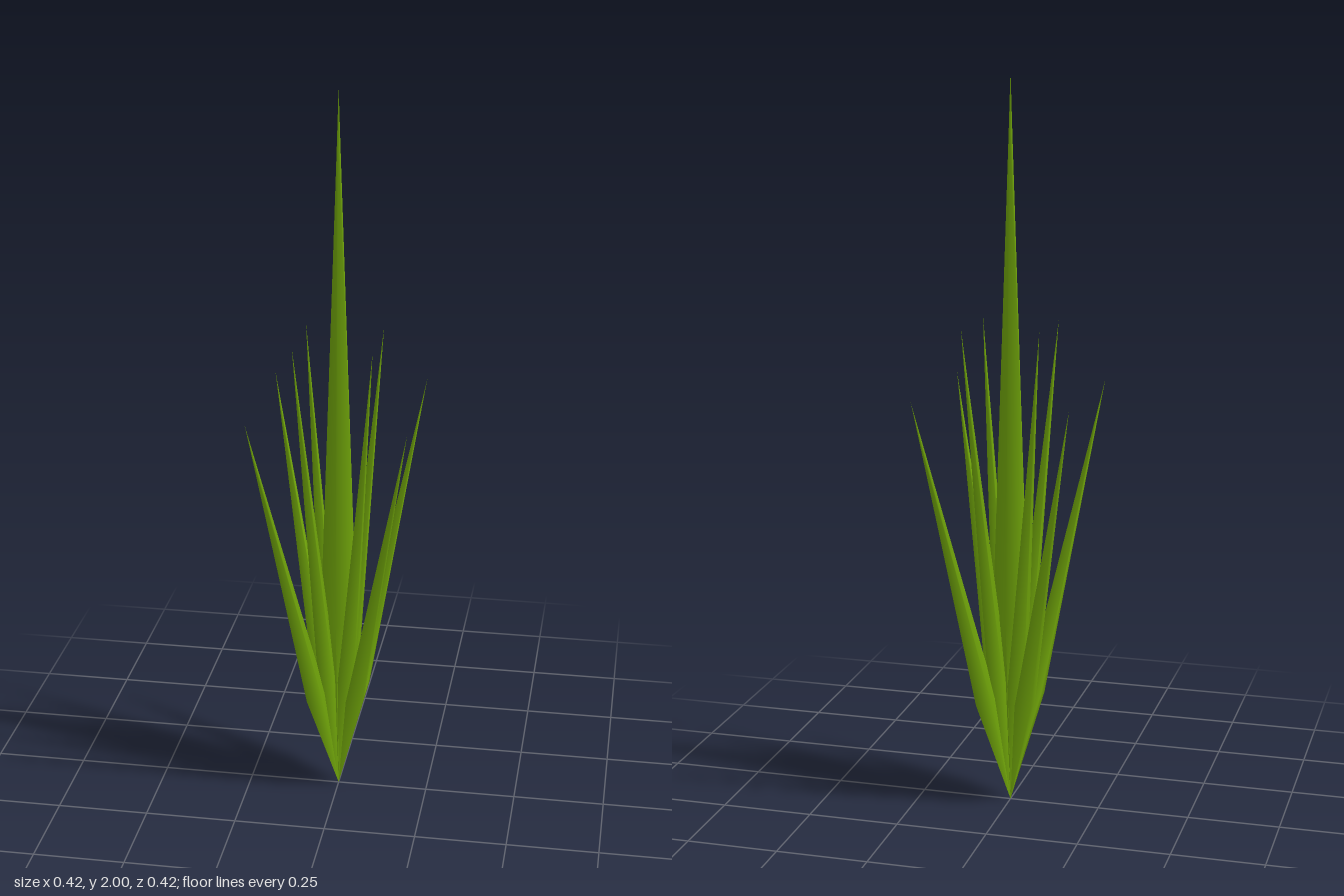
import * as THREE from 'three';

export function createModel() {
  const plant = new THREE.Group();
  plant.name = 'grassTuft';
  const green = new THREE.MeshStandardMaterial({ color: 0x76ad0b });

  // Four-sided blade: pointed at the base, widest low down, long thin tip
  function blade(name, length, halfWidth) {
    const profile = [[0, 0], [1, 0.26], [0.1, 0.92], [0, 1]]
      .map(([r, y]) => new THREE.Vector2(r * halfWidth, y * length));
    const mesh = new THREE.Mesh(new THREE.LatheGeometry(profile, 4), green);
    mesh.name = name;
    return mesh;
  }

  // Ring of four blades leaning out along the diagonals
  function ring(name, reach, height, halfWidth) {
    for (let i = 0; i < 4; i++) {
      const leaf = blade(name, Math.hypot(reach, height), halfWidth);
      leaf.rotation.z = -Math.atan2(reach, height);
      const turn = new THREE.Group();
      turn.name = name + 'Turn';
      turn.rotation.y = Math.PI / 4 + i * Math.PI / 2;
      turn.add(leaf);
      plant.add(turn);
    }
  }

  plant.add(blade('centreBlade', 2, 0.05));
  ring('innerBlade', 0.149, 1.34, 0.031);
  ring('outerBlade', 0.298, 1.16, 0.032);
  return plant;
}
